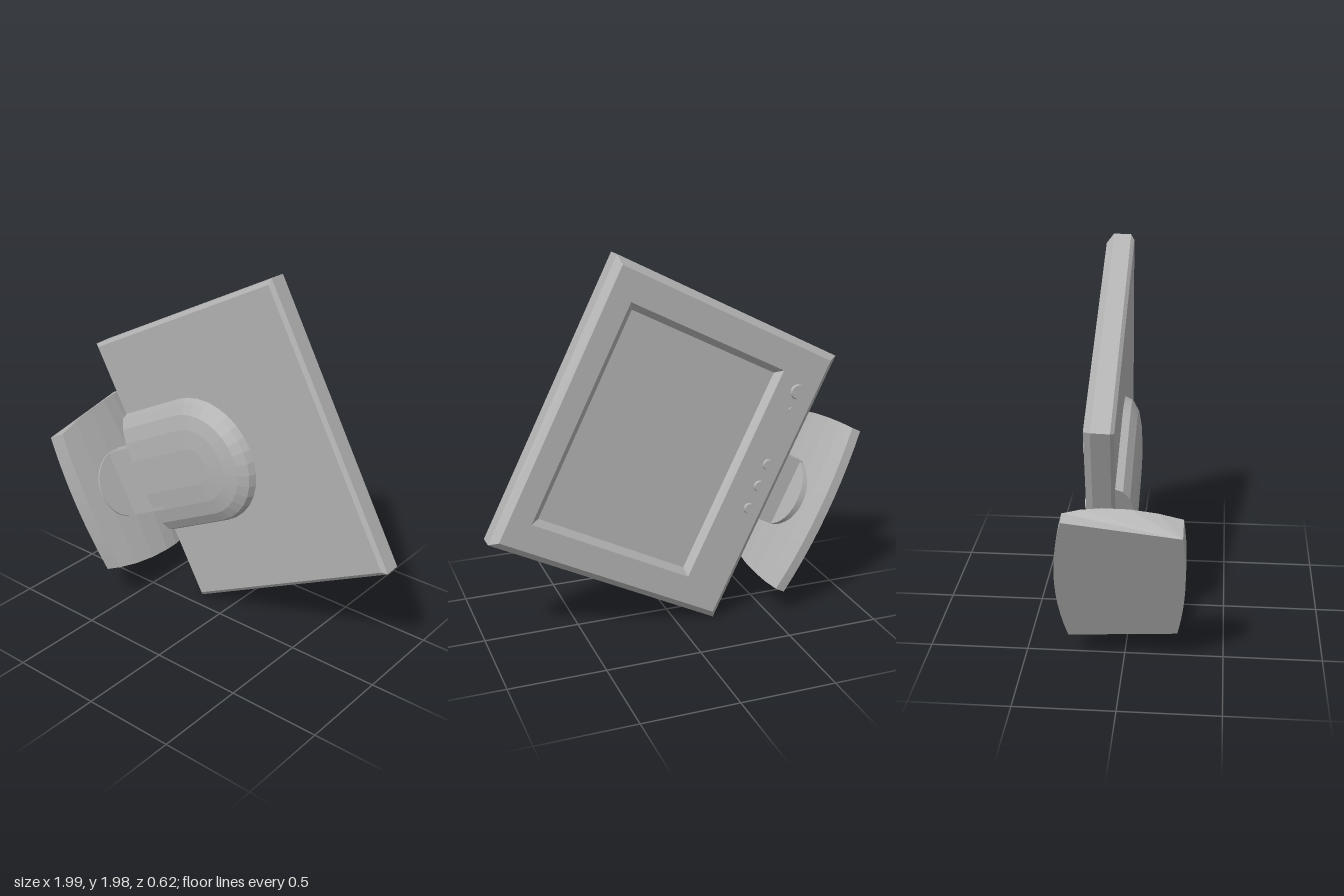
import * as THREE from 'three';

const grey = new THREE.MeshStandardMaterial({ color: 0xb2b2b2 });
grey.name = 'plain grey';

// Faceted skin over equal-length rings, capped at both ends
function loft(rings) {
  const pos = [];
  const tri = (...pts) => pts.forEach((p) => pos.push(...p));
  const cap = (ring) => {
    for (let i = 1; i < ring.length - 1; i++) tri(ring[0], ring[i], ring[i + 1]);
  };
  cap(rings[0]);
  for (let k = 0; k < rings.length - 1; k++) {
    const a = rings[k], b = rings[k + 1], n = a.length;
    for (let i = 0; i < n; i++) {
      const j = (i + 1) % n;
      tri(a[i], b[i], b[j]);
      tri(a[i], b[j], a[j]);
    }
  }
  cap([...rings[rings.length - 1]].reverse());
  const g = new THREE.BufferGeometry();
  g.setAttribute('position', new THREE.Float32BufferAttribute(pos, 3));
  g.computeVertexNormals();
  return g;
}

const rect = (x0, x1, y0, y1, z) => [[x0, y0, z], [x1, y0, z], [x1, y1, z], [x0, y1, z]];

// Chamfered housing whose front steps in to the recessed screen
function panelGeometry() {
  const body = (inset, z) => rect(-0.769 + inset, 0.769 - inset, -0.172 + inset, 1.167 - inset, z);
  const screen = (inset, z) => rect(-0.59 + inset, 0.595 - inset, 0.092 + inset, 1.016 - inset, z);
  return loft([
    body(0.02, -0.04), body(0, -0.057), body(0, -0.145), body(0.035, -0.18),
    screen(0, -0.18), screen(0.032, -0.148),
  ]);
}

// Domed cover on the back, round at the top and cut flat at the bottom
function coverGeometry() {
  const profile = [[0.28, 0.057], [0.58, 0.048], [0.8, 0.03], [0.95, -0.003], [1, -0.045]];
  return loft(profile.map(([s, z]) => {
    const r = 0.353 * s, ring = [[r, -0.15, z]];
    for (let i = 0; i <= 16; i++) {
      const a = (Math.PI * i) / 16;
      ring.push([r * Math.cos(a), 0.281 + r * Math.sin(a), z]);
    }
    ring.push([-r, -0.15, z]);
    return ring;
  }));
}

// Foot with bowed long sides and a top that slopes down towards the front
function footGeometry() {
  // depth fraction, top height, half width
  const section = [[0, -0.385, 0.475], [0.15, -0.358, 0.474], [0.32, -0.339, 0.468],
    [0.55, -0.328, 0.456], [0.78, -0.325, 0.434], [1, -0.328, 0.402]];
  const rings = [];
  for (let i = 0; i <= 10; i++) {
    const s = 1 - i / 5;
    const front = -0.31 + 0.05 * s * s, back = 0.31 - 0.025 * s * s;
    const at = ([t, y, half], height = y) => [0.012 + s * half, height, front + (back - front) * t];
    rings.push([
      at(section[0], -0.438),
      ...section.map((p) => at(p)),
      at(section[section.length - 1], -0.438),
    ]);
  }
  return loft(rings);
}

export function createModel() {
  const model = new THREE.Group();
  model.name = 'monitor';
  const add = (name, geometry, x = 0, y = 0, z = 0) => {
    const mesh = new THREE.Mesh(geometry, grey);
    mesh.name = name;
    mesh.position.set(x, y, z);
    model.add(mesh);
    return mesh;
  };

  add('screenPanel', panelGeometry());
  add('backCover', coverGeometry());
  add('foot', footGeometry());

  // Stand
  add('neck', new THREE.BoxGeometry(0.38, 0.28, 0.1), 0.01, -0.2, 0);
  add('swivelDisc', new THREE.CylinderGeometry(0.195, 0.195, 0.1, 32), 0.012, -0.366, 0.01);

  // Controls on the lower bezel: x, y, radius, depth
  const controls = [
    ['powerButton', -0.518, -0.033, 0.045, 0.012],
    ['indicator', -0.42, -0.042, 0.013, 0.008],
    ['button', -0.11, -0.057, 0.033, 0.014],
    ['button', 0.013, -0.063, 0.033, 0.014],
    ['button', 0.142, -0.065, 0.033, 0.014],
  ];
  for (const [name, x, y, r, d] of controls) {
    const g = new THREE.CylinderGeometry(r, r * 0.8, 2 * d, 16).rotateX(Math.PI / 2);
    add(name, g, x, y, -0.18);
  }

  // Lying over on its side with a slight swivel
  model.rotation.set(0, 0.038, THREE.MathUtils.degToRad(-62.9), 'ZYX');
  model.position.set(-0.396, 0.766, 0);
  const root = new THREE.Group();
  root.name = 'tiltedMonitor';
  root.add(model);
  return root;
}
